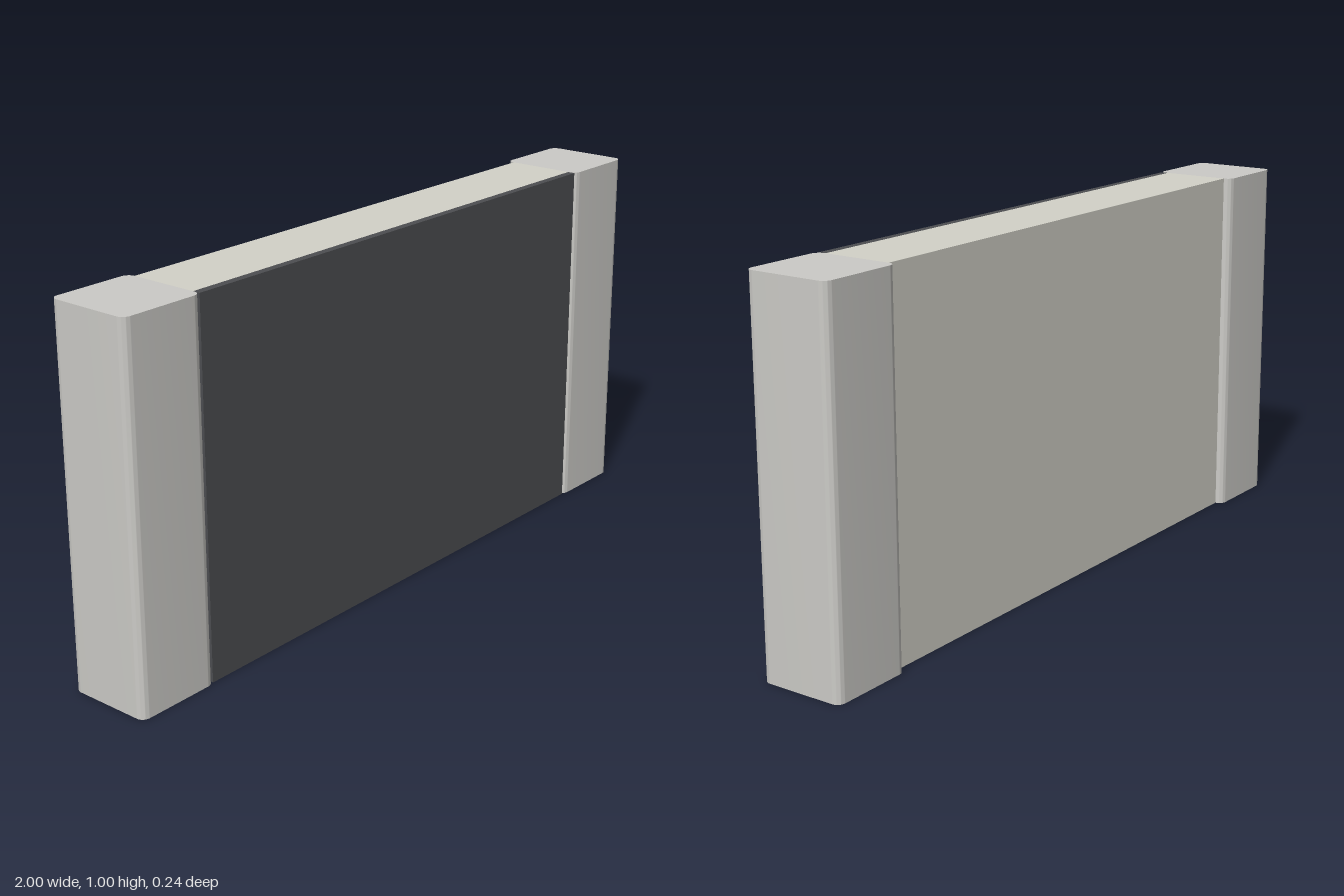
import * as THREE from 'three';
import { toCreasedNormals } from 'three/addons/utils/BufferGeometryUtils.js';

const HEIGHT = 1, INNER = 0.76, OUTER = 1, HALF_DEPTH = 0.12, RADIUS = 0.022;

function box(name, material, width, z0, z1) {
  const mesh = new THREE.Mesh(new THREE.BoxGeometry(width, HEIGHT, z1 - z0), material);
  mesh.position.set(0, HEIGHT / 2, (z0 + z1) / 2);
  mesh.name = name;
  return mesh;
}

// Rounded rectangle in plan, extruded upwards
function terminalGeometry() {
  const w = (OUTER - INNER) / 2, d = HALF_DEPTH, r = RADIUS;
  const s = new THREE.Shape();
  s.moveTo(w, d - r);
  s.absarc(w - r, d - r, r, 0, Math.PI / 2);
  s.absarc(-w + r, d - r, r, Math.PI / 2, Math.PI);
  s.absarc(-w + r, -d + r, r, Math.PI, Math.PI * 1.5);
  s.absarc(w - r, -d + r, r, Math.PI * 1.5, Math.PI * 2);
  const g = new THREE.ExtrudeGeometry(s, { depth: HEIGHT, bevelEnabled: false, curveSegments: 8 });
  g.rotateX(-Math.PI / 2);
  return toCreasedNormals(g, 0.6);
}

export function createModel() {
  const group = new THREE.Group();
  group.name = 'chipResistor';
  const ceramic = new THREE.MeshStandardMaterial({ color: 0xd3d2c8 });
  const metal = new THREE.MeshStandardMaterial({ color: 0xcccbc7 });
  const dark = new THREE.MeshStandardMaterial({ color: 0x4d4e51 });

  // Ceramic slab and the dark coating on its front
  group.add(box('ceramicBody', ceramic, INNER * 2, -0.098, 0.094));
  group.add(box('frontCoating', dark, INNER * 2, 0.094, 0.115));

  // End terminals
  const geometry = terminalGeometry();
  for (const side of [1, -1]) {
    const terminal = new THREE.Mesh(geometry, metal);
    terminal.position.x = side * (INNER + OUTER) / 2;
    terminal.name = side > 0 ? 'leftTerminal' : 'rightTerminal';
    group.add(terminal);
  }
  return group;
}
